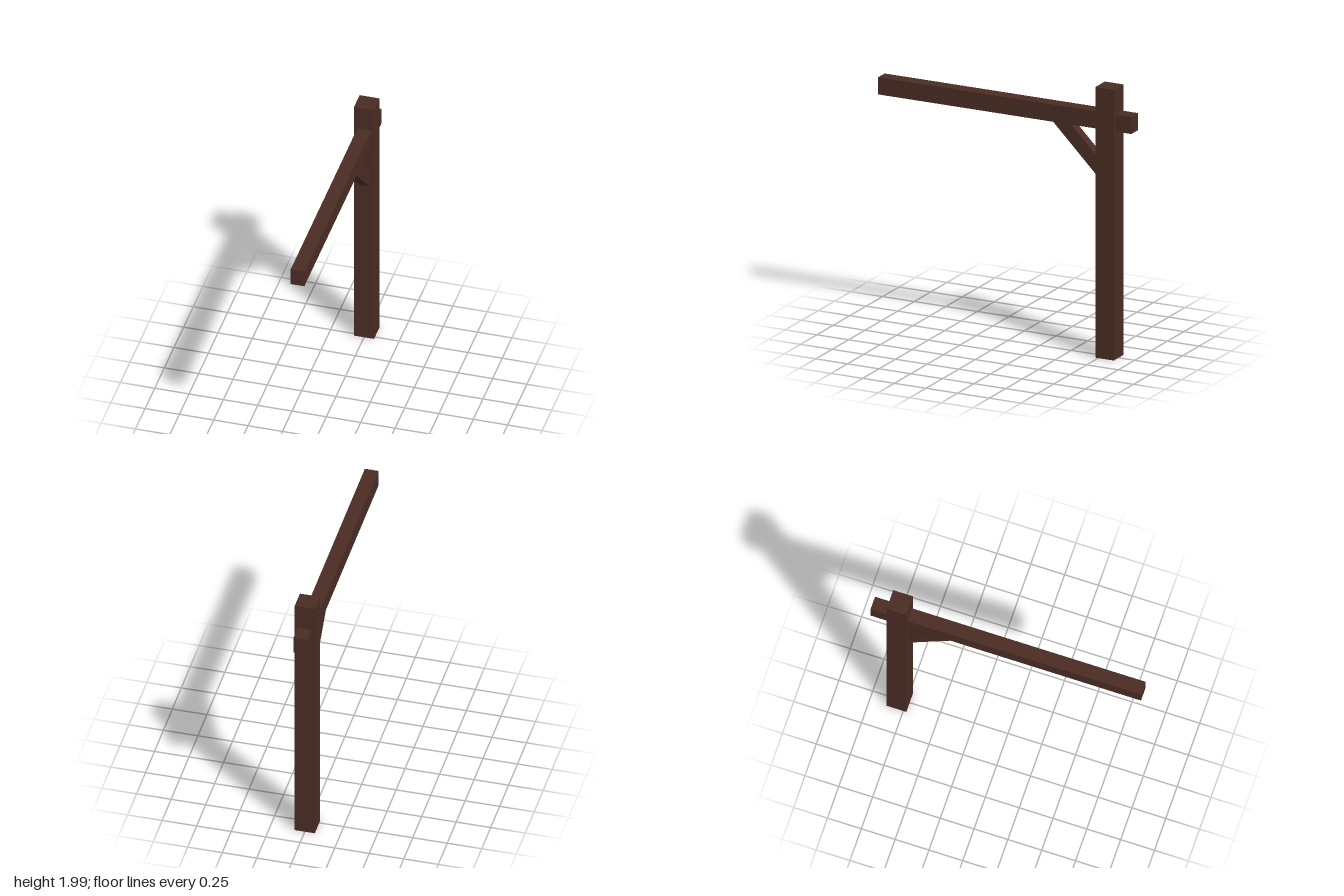
import * as THREE from 'three';

export function createModel() {
  const group = new THREE.Group();
  const darkWood = new THREE.MeshStandardMaterial({ color: 0x4a2d24 });
  darkWood.name = 'dark wood';

  const timber = (name, size, position, tilt = 0) => {
    const mesh = new THREE.Mesh(new THREE.BoxGeometry(...size), darkWood);
    mesh.name = name;
    mesh.position.set(...position);
    mesh.rotation.x = tilt;
    group.add(mesh);
  };

  // Upright post near the back
  timber('post', [0.146, 1.99, 0.146], [0, 0.995, -0.8]);
  // Long beam through the post, reaching forward
  timber('beam', [0.1, 0.126, 2], [0, 1.741, 0]);
  // Diagonal brace, its ends sunk into post and beam
  timber('brace', [0.07, 0.102, 0.594], [0, 1.53, -0.59], -Math.PI / 4);

  return group;
}
